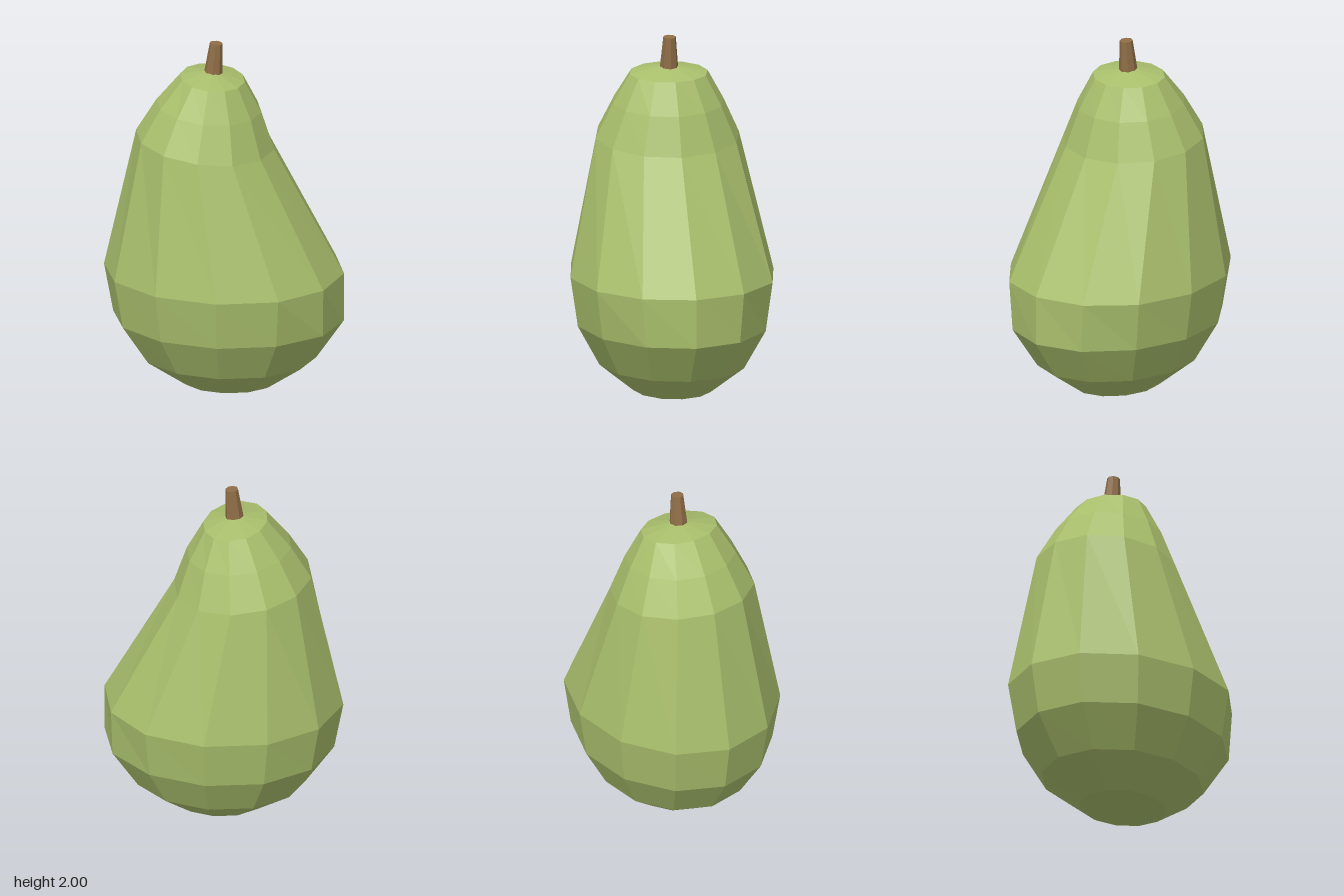
import * as THREE from 'three';

const SIDES = 12;

// Body cross-sections from the bottom up:
// [y at left edge, y at right edge, min x, centre x, max x, half depth, roundness of the +x side]
const RINGS = [
  [0.06, 0.06, -0.23, 0.02, 0.28, 0.215, 1],
  [0.21, 0.21, -0.455, 0.02, 0.50, 0.40, 1],
  [0.43, 0.43, -0.605, 0.02, 0.65, 0.52, 1],
  [0.70, 0.70, -0.655, 0.02, 0.65, 0.56, 0.93],
  [1.48, 1.40, -0.48, -0.10, 0.27, 0.395, 1],
  [1.66, 1.61, -0.37, -0.08, 0.20, 0.305, 1],
  [1.815, 1.78, -0.24, -0.065, 0.11, 0.215, 1],
];

// Faceted skin over the rings, closed by a pole at each end
function bodyGeometry() {
  const pos = [0.02, 0, 0];
  for (const [yl, yr, xl, xc, xr, depth, round] of RINGS) {
    for (let j = 0; j < SIDES; j++) {
      const a = (j / SIDES) * Math.PI * 2;
      const c = Math.cos(a);
      const x = c > 0 ? xc + (xr - xc) * Math.pow(c, round) : xc + (xc - xl) * c;
      pos.push(x, (yl + yr) / 2 + ((yr - yl) / 2) * c, depth * Math.sin(a));
    }
  }
  pos.push(-0.06, 1.843, 0);
  const top = pos.length / 3 - 1;
  const at = (i, j) => 1 + i * SIDES + (j % SIDES);
  const last = RINGS.length - 1;
  const index = [];
  for (let j = 0; j < SIDES; j++) {
    index.push(0, at(0, j), at(0, j + 1));
    for (let i = 0; i < last; i++) {
      const a = at(i, j), b = at(i, j + 1), c = at(i + 1, j + 1), d = at(i + 1, j);
      index.push(a, d, c, a, c, b);
    }
    index.push(at(last, j), top, at(last, j + 1));
  }
  const indexed = new THREE.BufferGeometry();
  indexed.setAttribute('position', new THREE.Float32BufferAttribute(pos, 3));
  indexed.setIndex(index);
  const geo = indexed.toNonIndexed();
  geo.computeVertexNormals();
  return geo;
}

export function createModel() {
  const group = new THREE.Group();
  group.name = 'pear';

  const body = new THREE.Mesh(
    bodyGeometry(),
    new THREE.MeshStandardMaterial({ color: 0xa9bf6c, flatShading: true })
  );
  body.name = 'body';

  // Short tapered stem, leaning slightly to +x
  const stem = new THREE.Mesh(
    new THREE.CylinderGeometry(0.035, 0.052, 0.19, 8),
    new THREE.MeshStandardMaterial({ color: 0x8f6e47, flatShading: true })
  );
  stem.name = 'stem';
  stem.position.set(-0.053, 1.903, 0);
  stem.rotation.z = -0.09;

  group.add(body, stem);
  return group;
}
